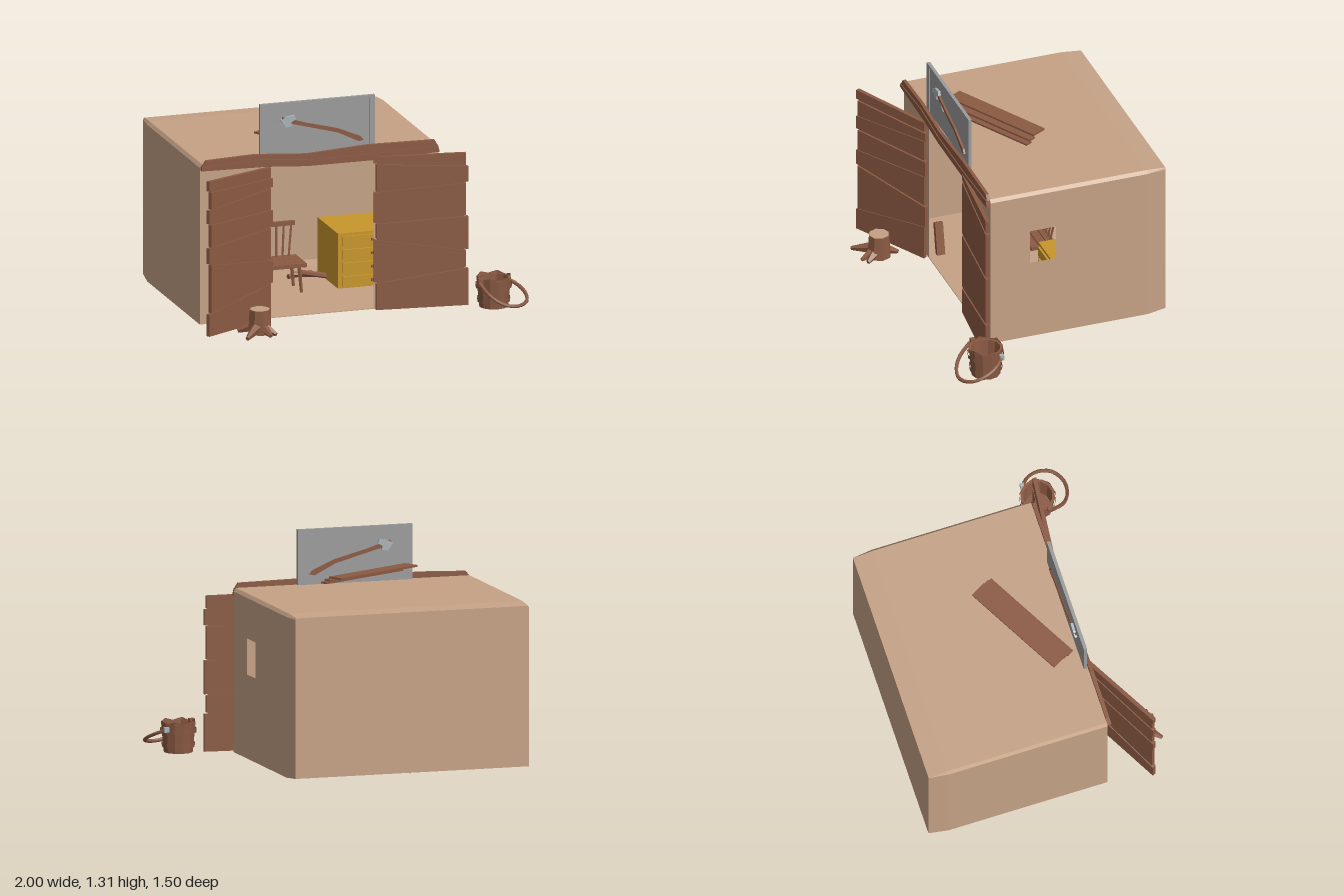
import * as THREE from 'three';

const make = (name, color, side = THREE.FrontSide) =>
  new THREE.MeshStandardMaterial({ name, color, side });

export function createModel() {
  const tan = make('tan wall', 0xc5a286, THREE.DoubleSide);
  const wood = make('brown wood', 0x8b5a43, THREE.DoubleSide);
  const grey = make('grey board', 0x9b9b9b, THREE.DoubleSide);
  const metal = make('pale metal', 0xa8b2b8);
  const yellow = make('yellow wood', 0xc8962c);
  const cut = make('cut wood', 0xc3a184);
  const root = new THREE.Group();

  const add = (name, geo, mat, parent = root) => {
    const m = new THREE.Mesh(geo, mat);
    m.name = name;
    parent.add(m);
    return m;
  };
  const group = (name, x = 0, y = 0, z = 0, ry = 0) => {
    const g = new THREE.Group();
    g.name = name;
    g.position.set(x, y, z);
    g.rotation.y = ry;
    root.add(g);
    return g;
  };
  const box = (name, mat, [w, h, d], [x, y, z], parent = root) => {
    const m = add(name, new THREE.BoxGeometry(w, h, d), mat, parent);
    m.position.set(x, y, z);
    return m;
  };
  const poly = pts => new THREE.Shape(pts.map(p => new THREE.Vector2(...p)));
  const rect = (x0, y0, x1, y1) => poly([[x0, y0], [x1, y0], [x1, y1], [x0, y1]]);
  const slab = (shape, depth) => new THREE.ExtrudeGeometry(shape, { depth, bevelEnabled: false });
  const flat = geo => {
    const g = geo.index ? geo.toNonIndexed() : geo;
    g.computeVertexNormals();
    return g;
  };
  // tapered bar between two points
  const bar = (name, mat, a, b, ra, rb, sides, parent = root) => {
    const A = new THREE.Vector3(...a), B = new THREE.Vector3(...b);
    const dir = B.clone().sub(A);
    const m = add(name, flat(new THREE.CylinderGeometry(rb, ra, dir.length(), sides)), mat, parent);
    m.position.copy(A).addScaledVector(dir, 0.5);
    m.quaternion.setFromUnitVectors(new THREE.Vector3(0, 1, 0), dir.normalize());
    return m;
  };

  // Hut shell: cross-sections from front to back, the back one drawn in
  const main = [[-0.955, 0.015], [0.52, 0.015], [0.52, 0.97], [0.505, 0.99], [-0.94, 0.99], [-0.955, 0.97]];
  const back = [[-0.94, 0.025], [0.505, 0.025], [0.505, 0.97], [0.5, 0.98], [-0.935, 0.98], [-0.94, 0.97]];
  const rings = [[main, 0.35], [main, -0.63], [back, -0.75]].map(([r, z]) => r.map(p => [...p, z]));
  const pos = [];
  for (let s = 0; s < 2; s++) for (let i = 0; i < 6; i++) {
    if (s === 0 && i === 1) continue; // the window wall goes here
    const j = (i + 1) % 6, A = rings[s], B = rings[s + 1];
    pos.push(...A[i], ...B[i], ...B[j], ...A[i], ...B[j], ...A[j]);
  }
  for (let i = 1; i < 5; i++) pos.push(...rings[2][0], ...rings[2][i + 1], ...rings[2][i]);
  const shell = new THREE.BufferGeometry();
  shell.setAttribute('position', new THREE.Float32BufferAttribute(pos, 3));
  shell.computeVertexNormals();
  add('hutShell', shell, tan);

  const side = rect(-0.35, 0.015, 0.63, 0.97);
  side.holes.push(rect(-0.105, 0.515, 0.06, 0.73));
  add('windowWall', new THREE.ShapeGeometry(side).rotateY(Math.PI / 2), tan).position.x = 0.52;
  const front = poly(main);
  front.holes.push(rect(-0.53, 0.02, 0.12, 0.95));
  add('frontWall', new THREE.ShapeGeometry(front), tan).position.z = 0.35;

  // Wavy boards over the doorway
  const upper = [[-0.92, 1.015], [-0.62, 1.026], [-0.3, 1.002], [0.08, 1.024], [0.49, 1.018]];
  const seam = [[-0.95, 0.975], [-0.6, 0.995], [-0.3, 0.968], [0.1, 0.968], [0.51, 0.985]];
  const lower = [[-0.95, 0.955], [-0.55, 0.948], [-0.3, 0.93], [0.12, 0.93], [0.52, 0.945]];
  add('upperLintel', slab(poly([...seam, ...[...upper].reverse()]), 0.02), wood).position.z = 0.35;
  add('lowerLintel', slab(poly([...lower, ...[...seam].reverse()]), 0.026), wood).position.z = 0.35;

  // Plank doors: each seam has a height at the left and the right end
  const door = (name, x, z, ry, w, seams) => {
    const g = group(name, x, 0, z, ry);
    for (let i = 0; i < seams.length - 1; i++) {
      const [t, b] = [seams[i], seams[i + 1]];
      const l = (i % 2) * 0.012, r = w - ((i + 1) % 2) * 0.012;
      const p = slab(poly([[l, b[0] + 0.004], [r, b[1] + 0.004], [r, t[1] - 0.004], [l, t[0] - 0.004]]), 0.024);
      add('doorPlank', p, wood, g).position.z = -0.012 + (i % 2) * 0.004;
    }
    box('doorBacking', wood, [w - 0.04, 0.9, 0.008], [w / 2, 0.475, 0], g);
  };
  door('leftDoor', -0.995, 0.625, 0.5, 0.54,
    [[0.968, 0.948], [0.9, 0.88], [0.79, 0.82], [0.7, 0.685], [0.56, 0.578], [0.457, 0.377], [0.158, 0.238], [0.016, 0.016]]);
  door('rightDoor', 0.115, 0.367, -0.1, 0.565,
    [[0.952, 0.945], [0.906, 0.863], [0.735, 0.762], [0.543, 0.559], [0.447, 0.35], [0.18, 0.243], [0.012, 0.01]]);

  // Sign board with raised rim
  box('signBoard', grey, [0.7, 0.34, 0.012], [-0.225, 1.147, 0.331]);
  const rim = rect(-0.58, 0.975, 0.13, 1.32);
  rim.holes.push(rect(-0.545, 0.99, 0.095, 1.305));
  add('signRim', slab(rim, 0.02), grey).position.z = 0.325;

  // Axe set through the board
  const handle = poly([[-0.45, 1.205], [-0.3, 1.165], [-0.1, 1.11], [0.03, 1.045], [0.06, 1.052], [0.04, 1.075],
    [-0.1, 1.135], [-0.3, 1.187], [-0.44, 1.232]]);
  add('axeHandle', slab(handle, 0.034), wood).position.z = 0.315;
  const head = poly([[-0.425, 1.17], [-0.385, 1.175], [-0.39, 1.2], [-0.36, 1.215], [-0.37, 1.24], [-0.42, 1.232], [-0.455, 1.215]]);
  add('axeHead', slab(head, 0.044), metal).position.z = 0.31;
  const blade = poly([[-0.42, 1.19], [-0.505, 1.165], [-0.46, 1.135], [-0.38, 1.122], [-0.31, 1.13], [-0.39, 1.18]]);
  add('axeBlade', slab(blade, 0.006), grey).position.z = 0.336;

  // Loose planks above the roof
  const roof = group('roofPlanks', -0.225, 0, 0.06, 0.505);
  [[-0.03, 1.097, 0.1], [0.032, 1.078, 0.05], [0.06, 1.06, 0.045]].forEach(([z, y, w]) =>
    box('roofPlank', wood, [0.66, 0.011, w], [0, y, z], roof));

  // Bucket: staves with uneven tops, hoops and hanging handle
  const bucket = group('bucket', 0.815, 0, 0.49);
  const body = new THREE.CylinderGeometry(0.103, 0.088, 0.17, 12, 1, true);
  const bp = body.attributes.position;
  for (let i = 0; i < bp.count; i++)
    if (bp.getY(i) > 0) bp.setY(i, 0.085 + (i % 12 % 2 ? 0.016 : 0));
  add('bucketStaves', flat(body), wood, bucket).position.y = 0.1;
  const inner = add('bucketLining', flat(new THREE.CylinderGeometry(0.088, 0.076, 0.17, 12, 1, true)), wood, bucket);
  inner.position.y = 0.1;
  add('bucketRim', new THREE.RingGeometry(0.087, 0.104, 12).rotateX(-Math.PI / 2), wood, bucket).position.y = 0.184;
  add('bucketBase', new THREE.CylinderGeometry(0.088, 0.086, 0.015, 12), wood, bucket).position.y = 0.018;
  for (const [y, r] of [[0.055, 0.098], [0.14, 0.108]])
    add('bucketHoop', flat(new THREE.CylinderGeometry(r + 0.002, r, 0.025, 12, 1, true)), wood, bucket).position.y = y;
  const path = [[0.71, 0.17, 0.55], [0.75, 0.11, 0.63], [0.82, 0.065, 0.675], [0.9, 0.05, 0.68], [0.97, 0.062, 0.635],
    [0.99, 0.09, 0.56], [0.965, 0.125, 0.48], [0.91, 0.155, 0.425]].map(p => new THREE.Vector3(...p));
  add('bucketHandle', new THREE.TubeGeometry(new THREE.CatmullRomCurve3(path), 20, 0.011, 6), wood);
  box('bucketRivet', metal, [0.03, 0.03, 0.025], [0.91, 0.155, 0.425]);
  box('bucketLug', wood, [0.03, 0.045, 0.03], [0.718, 0.175, 0.535]);

  // Tree stump with spreading roots
  const stump = group('stump', -0.67, 0, 0.61);
  bar('stumpTrunk', wood, [0, 0.01, 0], [0, 0.153, 0], 0.072, 0.064, 8, stump);
  add('stumpTop', new THREE.CircleGeometry(0.06, 8).rotateX(-Math.PI / 2), cut, stump).position.y = 0.156;
  for (const [x, z] of [[-0.12, 0.13], [0.03, 0.12], [0.01, -0.115], [-0.12, -0.05], [0.07, 0.095]])
    bar('stumpRoot', wood, [x * 0.3, 0.05, z * 0.3], [x, 0.018, z], 0.034, 0.012, 5, stump);

  // Chair
  const chair = group('chair', -0.31, 0, -0.2);
  for (let i = 0; i < 4; i++) box('seatSlat', wood, [0.33, 0.024, 0.048], [0, 0.185, -0.08 + i * 0.053], chair);
  for (const s of [-1, 1]) for (const z of [-0.075, 0.075])
    bar('chairLeg', wood, [s * 0.14, 0.016, z], [s * 0.125, 0.18, z], 0.01, 0.012, 5, chair);
  for (let i = -3; i <= 3; i++)
    bar('chairSpindle', wood, [i * 0.038, 0.19, -0.085], [i * 0.047, 0.39, -0.115], 0.007, 0.007, 5, chair);
  box('chairTopRail', wood, [0.32, 0.026, 0.022], [0, 0.388, -0.115], chair);

  // Low yellow bed with slats
  const bed = group('bed', -0.77, 0, -0.34, -0.2);
  box('bedBox', yellow, [0.2, 0.105, 0.54], [0, 0.07, 0], bed);
  for (const x of [-0.055, 0, 0.055]) box('bedSlat', wood, [0.046, 0.012, 0.48], [x, 0.13, 0.04], bed);
  box('leaningPlank', wood, [0.03, 0.2, 0.05], [-0.57, 0.11, 0.27]).rotation.z = 0.2;

  // Yellow drawer cabinet
  box('cabinet', yellow, [0.43, 0.335, 0.38], [0.27, 0.185, -0.31]);
  for (let i = 0; i < 4; i++) {
    box('drawerFront', yellow, [0.38, 0.06, 0.016], [0.27, 0.06 + i * 0.082, -0.115]);
    box('drawerKnob', wood, [0.03, 0.014, 0.014], [0.27, 0.06 + i * 0.082, -0.102]);
  }

  // Grey crate, tilted slab and firewood
  box('crate', grey, [0.19, 0.115, 0.2], [-0.435, 0.075, -0.58]);
  box('crateLid', metal, [0.12, 0.07, 0.008], [-0.46, 0.075, -0.477]);
  const tilt = group('leaningSlabs', -0.265, 0.088, -0.62);
  tilt.rotation.z = 0.75;
  box('greySlab', grey, [0.05, 0.17, 0.14], [0, 0, 0], tilt);
  box('brownSlab', wood, [0.015, 0.15, 0.13], [0.034, 0, 0], tilt);
  for (let i = 0; i < 3; i++)
    bar('firewood', wood, [-0.16 + i * 0.03, 0.035 + i * 0.012, -0.4], [0 + i * 0.04, 0.035, -0.45 + i * 0.06], 0.016, 0.016, 6);
  bar('smallLog', wood, [0.32, 0.006, 0.08], [0.32, 0.12, 0.08], 0.04, 0.04, 8);

  return root;
}
